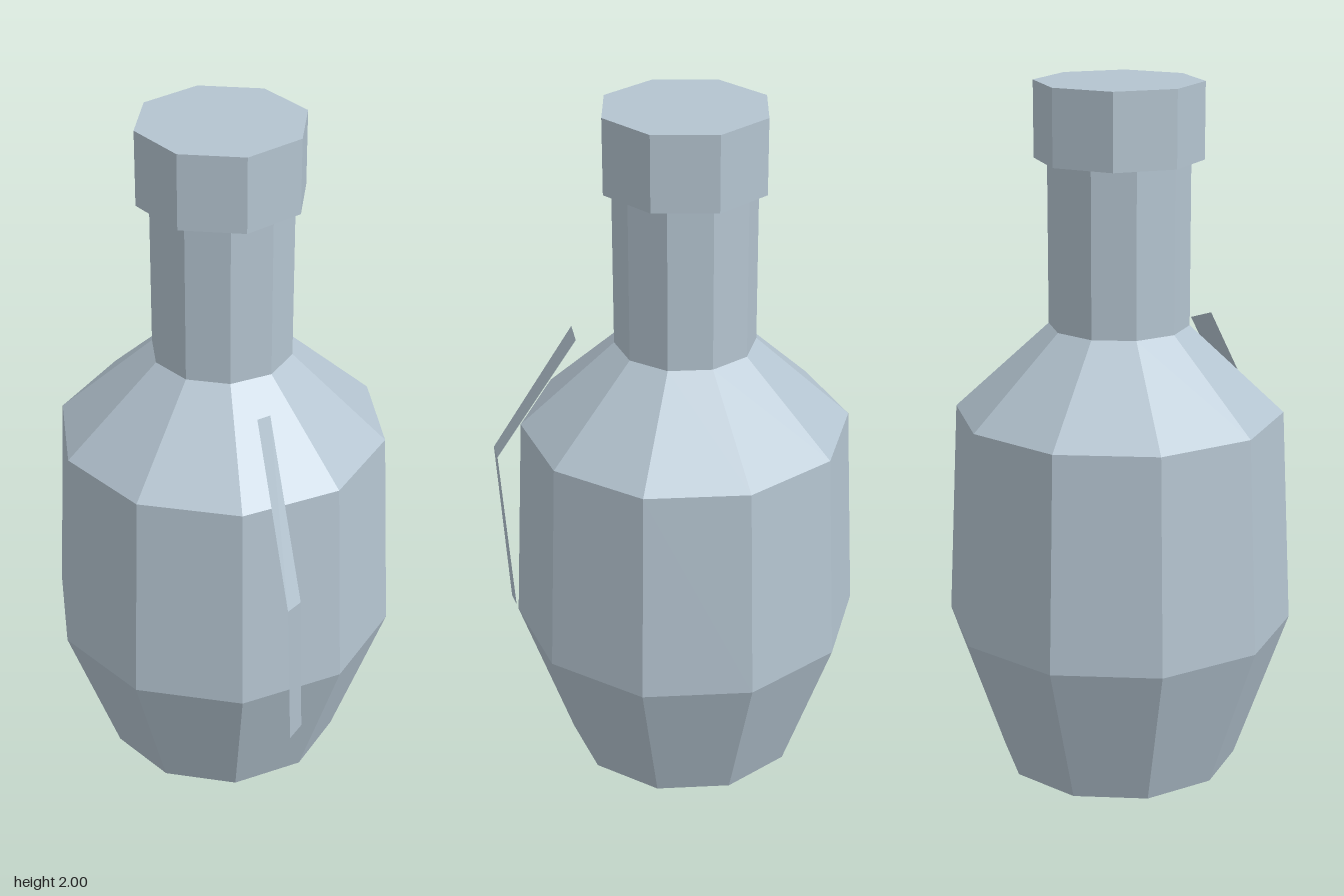
import * as THREE from 'three';

export function createModel() {
  const model = new THREE.Group();
  const steel = new THREE.MeshStandardMaterial({ color: 0xb4c4d0, flatShading: true });
  steel.name = 'blue grey';
  const steelSheet = steel.clone();
  steelSheet.side = THREE.DoubleSide;

  function add(name, geometry, material = steel) {
    const mesh = new THREE.Mesh(geometry, material);
    mesh.name = name;
    model.add(mesh);
    return mesh;
  }

  // Ten-sided body and neck, closed at both ends
  const profile = [[0, 0], [0.345, 0], [0.5, 0.44], [0.47, 1.065], [0.2, 1.315], [0.2, 1.785], [0, 1.785]]
    .map(([r, y]) => new THREE.Vector2(r, y));
  const body = add('body', new THREE.LatheGeometry(profile, 10, THREE.MathUtils.degToRad(-10.8)));
  body.position.z = -0.005;

  // Eight-sided cap
  const cap = add('cap', new THREE.CylinderGeometry(0.237, 0.237, 0.215, 8, 1, false, THREE.MathUtils.degToRad(7.5)));
  cap.position.set(0, 1.8925, -0.005);

  // Bent lever: a flat strip through pairs of edge points
  const rows = [
    [-0.22, 1.292, 0.275, -0.16, 1.275, 0.275],
    [-0.375, 0.845, 0.492, -0.315, 0.84, 0.492],
    [-0.315, 0.345, 0.468, -0.255, 0.35, 0.465],
  ];
  const strip = new THREE.BufferGeometry();
  strip.setAttribute('position', new THREE.Float32BufferAttribute(rows.flat(), 3));
  const index = [];
  for (let i = 0; i < rows.length - 1; i++) {
    const a = i * 2;
    index.push(a, a + 2, a + 1, a + 1, a + 2, a + 3);
  }
  strip.setIndex(index);
  strip.computeVertexNormals();
  add('lever', strip, steelSheet);

  return model;
}
